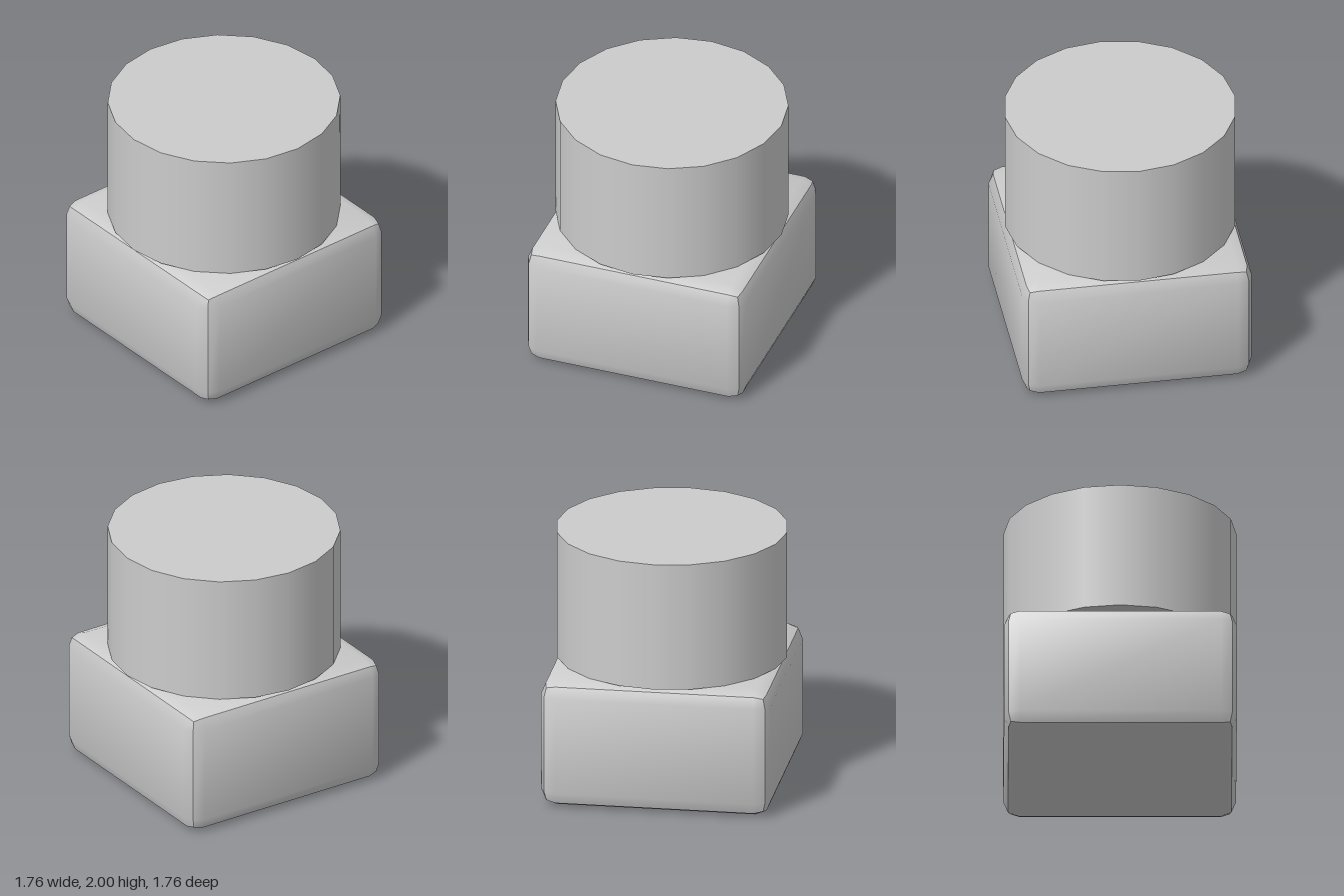
import * as THREE from 'three';
import { toCreasedNormals } from 'three/addons/utils/BufferGeometryUtils.js';
import { RoundedBoxGeometry } from 'three/addons/geometries/RoundedBoxGeometry.js';

const WIDTH = 1.76;

export function createModel() {
  const group = new THREE.Group();
  const grey = new THREE.MeshStandardMaterial({ color: 0xcccccc });
  grey.name = 'light grey';

  const add = (name, geometry, y) => {
    const mesh = new THREE.Mesh(geometry, grey);
    mesh.name = name;
    mesh.position.y = y;
    group.add(mesh);
  };

  // Square base with low-poly rounded edges, creased along the middle of each rounding
  const base = new RoundedBoxGeometry(WIDTH, 1, WIDTH, 1, 0.12);
  add('base', toCreasedNormals(base, 0.6), 0.5);

  // Smooth-sided drum of 20 segments resting on the base
  add('drum', new THREE.CylinderGeometry(WIDTH / 2, WIDTH / 2, 1, 20), 1.5);

  return group;
}
